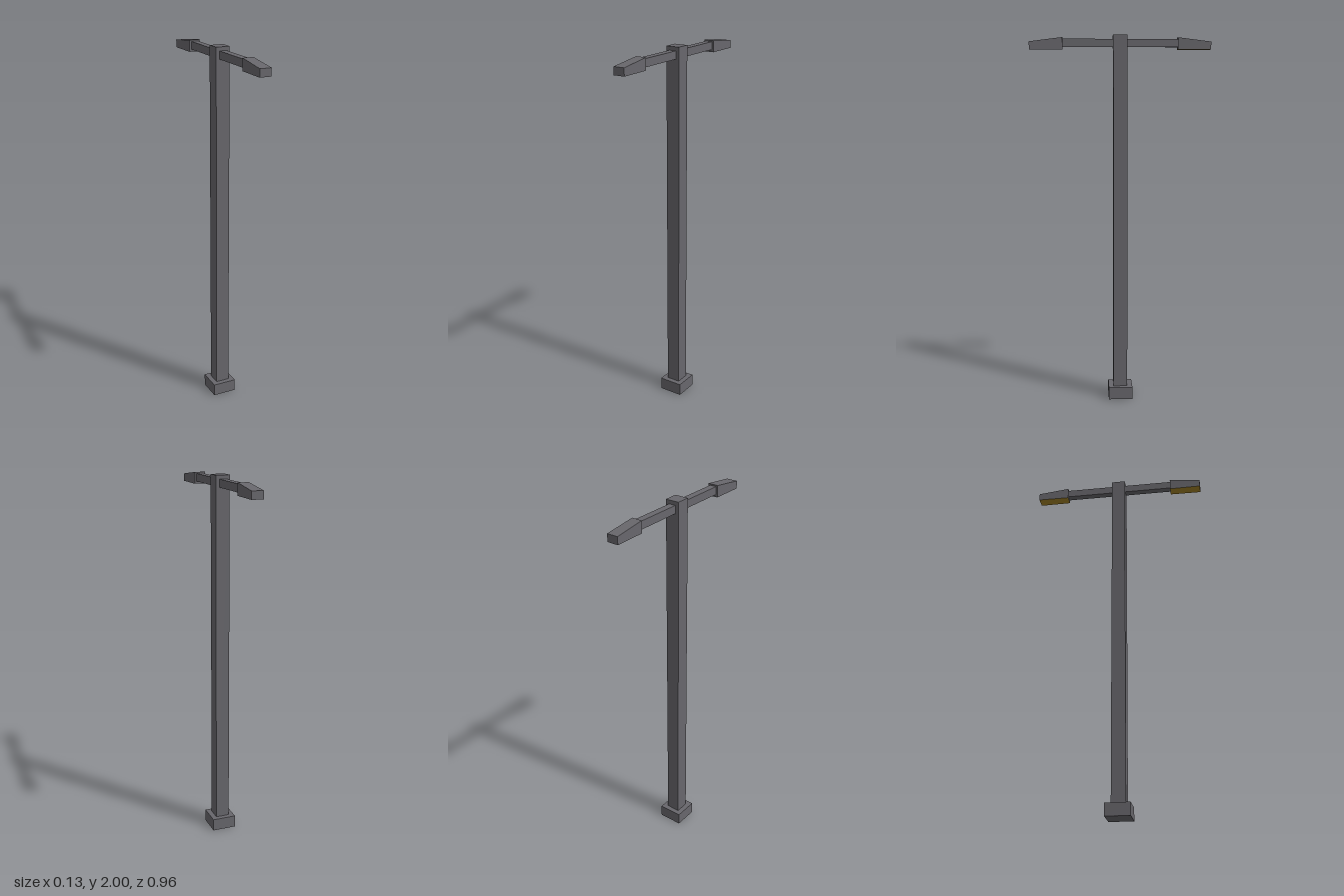
import * as THREE from 'three';

export function createModel() {
  const metal = new THREE.MeshStandardMaterial({ color: 0x68676c });
  metal.name = 'grey metal';
  const glow = new THREE.MeshStandardMaterial({ color: 0xa58428 });
  glow.name = 'amber lens';

  const group = new THREE.Group();
  group.name = 'doubleStreetLamp';

  // Box given by size and the centre of its underside
  const box = (name, w, h, d, y, z = 0, parent = group) => {
    const geo = new THREE.BoxGeometry(w, h, d).translate(0, h / 2, 0);
    const mesh = new THREE.Mesh(geo, metal);
    mesh.name = name;
    mesh.position.set(0, y, z);
    parent.add(mesh);
    return mesh;
  };

  box('base', 0.132, 0.068, 0.132, 0);
  box('pole', 0.076, 1.932, 0.076, 0.068);

  // Lamp head: a box whose top slopes down and sides flare slightly outward
  const headGeometry = () => {
    const inner = 0.305, outer = 0.48, bottom = 1.925;
    const geo = new THREE.BoxGeometry(1, 1, 1);
    const p = geo.attributes.position;
    for (let i = 0; i < p.count; i++) {
      const out = p.getZ(i) > 0;
      const top = out ? 1.966 : 1.988;
      p.setXYZ(i, Math.sign(p.getX(i)) * (out ? 0.031 : 0.029),
        p.getY(i) > 0 ? top : bottom, out ? outer : inner);
    }
    geo.computeVertexNormals();
    return geo;
  };

  // Front and back arms, each carrying a head with an amber underside
  for (const [side, turn] of [['front', 0], ['back', Math.PI]]) {
    const lamp = new THREE.Group();
    lamp.name = side + 'Lamp';
    lamp.rotation.y = turn;
    box(side + 'Arm', 0.038, 0.042, 0.267, 1.938, 0.1715, lamp);
    const head = new THREE.Mesh(headGeometry(), [metal, metal, metal, glow, metal, metal]);
    head.name = side + 'LampHead';
    lamp.add(head);
    group.add(lamp);
  }

  return group;
}
